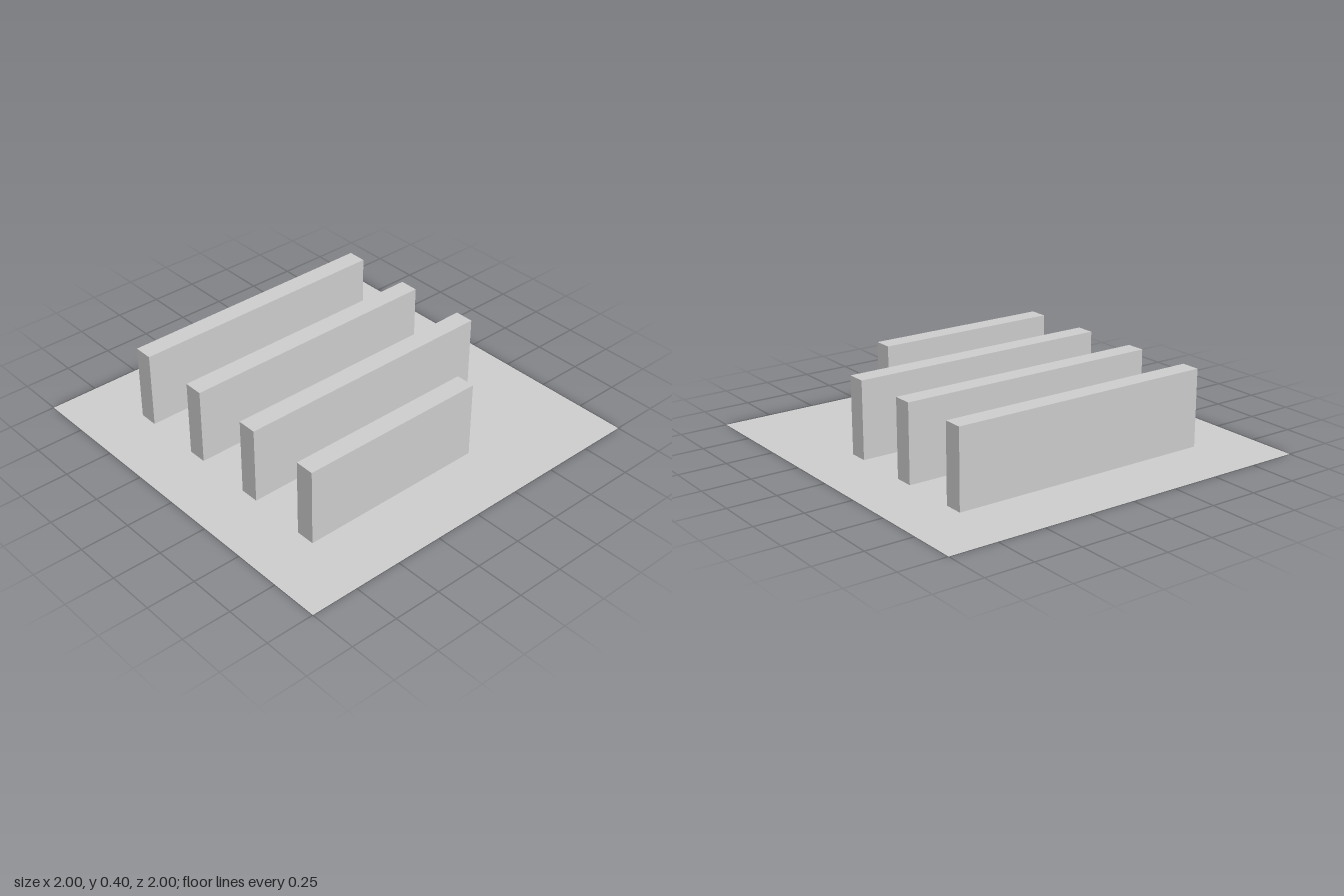
import * as THREE from 'three';

export function createModel() {
  const model = new THREE.Group();
  const material = new THREE.MeshStandardMaterial({ color: 0xcccccc, side: THREE.DoubleSide });

  // Thin square ground sheet
  const ground = new THREE.Mesh(new THREE.PlaneGeometry(2, 2).rotateX(-Math.PI / 2), material);
  ground.name = 'ground';
  model.add(ground);

  // Parallel walls sharing one end at x = -0.7; the front one is shorter
  const wallHeight = 0.4, wallThickness = 0.1, wallStart = -0.7;
  const walls = [
    { name: 'backWall', z: -0.6, length: 1.4 },
    { name: 'middleBackWall', z: -0.2, length: 1.4 },
    { name: 'middleFrontWall', z: 0.2, length: 1.4 },
    { name: 'frontShortWall', z: 0.6, length: 1.0 },
  ];
  for (const { name, z, length } of walls) {
    const wall = new THREE.Mesh(new THREE.BoxGeometry(length, wallHeight, wallThickness), material);
    wall.name = name;
    wall.position.set(wallStart + length / 2, wallHeight / 2, z);
    model.add(wall);
  }

  return model;
}
